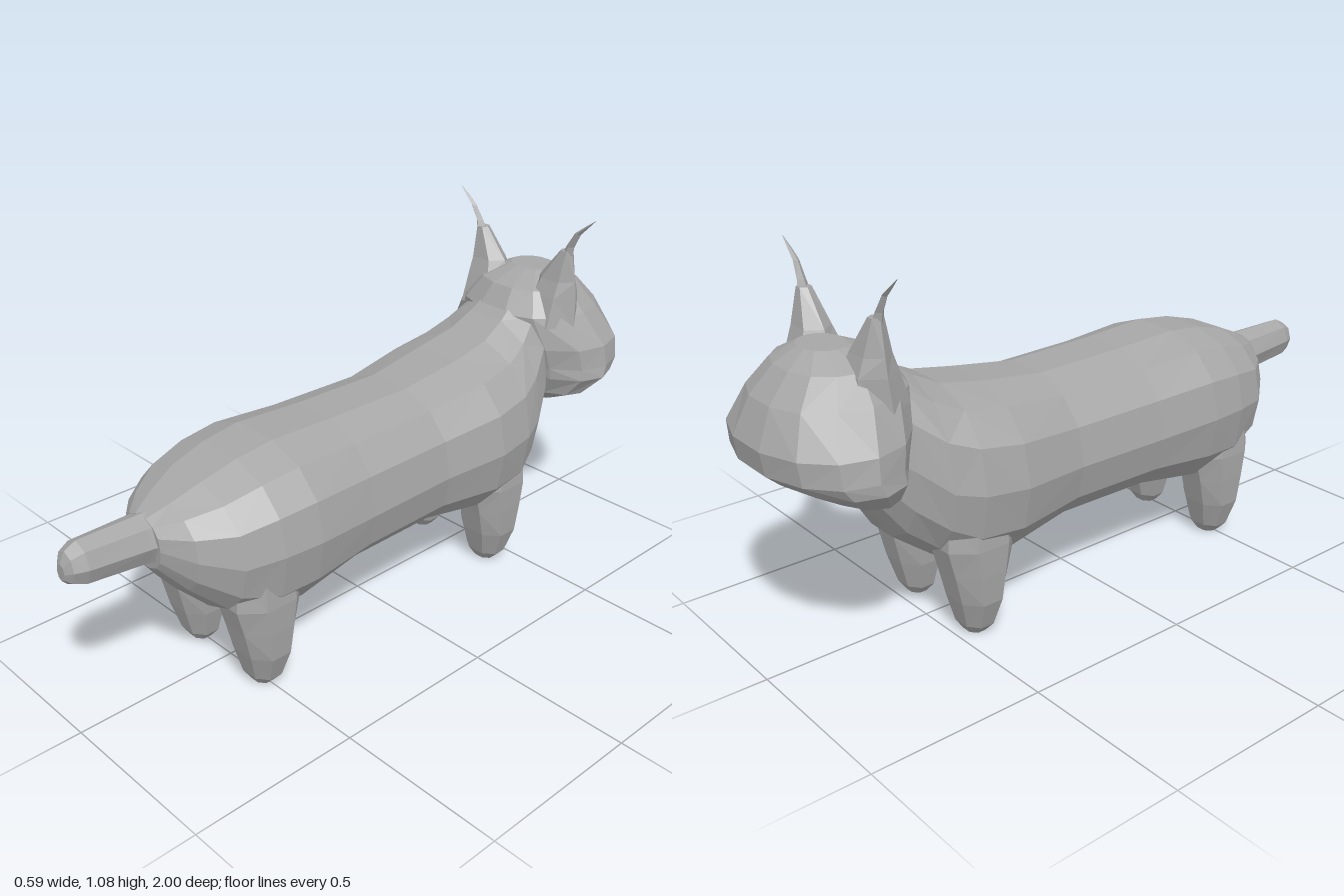
import * as THREE from 'three';

// Skin a list of rings (arrays of Vector3) and close both ends with a fan.
function loft(rings) {
  const n = rings[0].length, tris = [];
  for (let i = 0; i < rings.length - 1; i++) {
    const a = rings[i], b = rings[i + 1], odd = i % 2;
    for (let j = 0; j < n; j++) {
      const k = (j + 1) % n;
      if (odd) tris.push(a[j], a[k], b[j], a[k], b[k], b[j]);
      else tris.push(a[j], a[k], b[k], a[j], b[k], b[j]);
    }
  }
  const cap = (ring, flip) => {
    const c = ring.reduce((s, p) => s.add(p), new THREE.Vector3()).divideScalar(n);
    ring.forEach((p, j) => {
      const q = ring[(j + 1) % n];
      tris.push(...(flip ? [c, q, p] : [c, p, q]));
    });
  };
  cap(rings[0], true);
  cap(rings[rings.length - 1], false);

  // Turn the faces outward if the enclosed volume is negative.
  let volume = 0;
  for (let i = 0; i < tris.length; i += 3) {
    volume += tris[i].dot(tris[i + 1].clone().cross(tris[i + 2]));
  }
  if (volume < 0) tris.reverse();
  const geometry = new THREE.BufferGeometry().setFromPoints(tris);
  geometry.computeVertexNormals();
  return geometry;
}

// Superellipse ring with n sides; place(u, v) maps the unit outline into space.
function ring(n, power, place, turn = 0) {
  return Array.from({ length: n }, (_, j) => {
    const t = (j / n) * Math.PI * 2 + turn;
    const bend = (s) => Math.sign(s) * Math.pow(Math.abs(s), power);
    return place(bend(Math.cos(t)), bend(Math.sin(t)));
  });
}

// Upright cross-section at z; the widest point sits at height mid.
function acrossZ(n, power, [z, width, bottom, top, mid = (bottom + top) / 2]) {
  return ring(n, power, (u, v) => new THREE.Vector3(
    u * width, mid + v * (v > 0 ? top - mid : mid - bottom), z));
}

// Level cross-section at y, centred on x, spanning z0 to z1.
function acrossY(n, power, [y, x, width, z0, z1], turn = 0) {
  return ring(n, power, (u, v) => new THREE.Vector3(
    x + u * width, y, (z0 + z1) / 2 + v * (z1 - z0) / 2), turn);
}

export function createModel() {
  const model = new THREE.Group();
  const grey = new THREE.MeshStandardMaterial({ color: 0xa6a6a6, flatShading: true });
  grey.name = 'grey';
  const add = (name, geometry) => {
    const mesh = new THREE.Mesh(geometry, grey);
    mesh.name = name;
    model.add(mesh);
  };

  // Long body from rump to neck: z, half width, bottom, top, widest height
  const bodySections = [
    [0.76, 0.08, 0.42, 0.57],
    [0.70, 0.16, 0.34, 0.60],
    [0.61, 0.235, 0.25, 0.64],
    [0.50, 0.265, 0.18, 0.67, 0.45],
    [0.38, 0.275, 0.19, 0.685, 0.45],
    [0.17, 0.258, 0.23, 0.675, 0.44],
    [-0.13, 0.252, 0.23, 0.67, 0.44],
    [-0.34, 0.28, 0.19, 0.70, 0.45],
    [-0.47, 0.265, 0.19, 0.725, 0.46],
    [-0.55, 0.235, 0.25, 0.765, 0.48],
    [-0.63, 0.19, 0.31, 0.82, 0.55],
    [-0.70, 0.14, 0.42, 0.82, 0.60],
  ];
  add('body', loft(bodySections.map((s) => acrossZ(14, 0.88, s))));

  // Tail stub
  const tailSections = [
    [0.66, 0.085, 0.41, 0.58],
    [0.77, 0.068, 0.435, 0.575],
    [0.95, 0.055, 0.45, 0.577],
    [0.985, 0.04, 0.465, 0.56],
    [1.0, 0.018, 0.48, 0.53],
  ];
  add('tail', loft(tailSections.map((s) => acrossZ(8, 1, s))));

  // Broad head with full cheeks: y, x, half width, muzzle z, nape z
  const headSections = [
    [0.47, 0, 0.15, -0.79, -0.68],
    [0.51, 0, 0.24, -0.85, -0.645],
    [0.57, 0, 0.293, -0.95, -0.62],
    [0.605, 0, 0.29, -0.99, -0.61],
    [0.67, 0, 0.28, -1.0, -0.59],
    [0.77, 0, 0.215, -0.955, -0.57],
    [0.84, 0, 0.16, -0.89, -0.62],
    [0.88, 0, 0.075, -0.83, -0.71],
  ];
  add('head', loft(headSections.map((s) => acrossY(14, 0.95, s))));

  for (const side of [1, -1]) {
    const label = side > 0 ? 'left' : 'right';

    // Short tapered legs: y, x, half width, z offsets from the leg centre
    const legSections = [
      [0.005, 0.142, 0.036, -0.03, 0.03],
      [0.035, 0.143, 0.064, -0.05, 0.05],
      [0.12, 0.148, 0.09, -0.075, 0.075],
      [0.21, 0.148, 0.097, -0.098, 0.098],
      [0.29, 0.146, 0.102, -0.12, 0.12],
      [0.40, 0.14, 0.1, -0.11, 0.11],
    ];
    for (const [name, z] of [['FrontLeg', -0.435], ['HindLeg', 0.5]]) {
      add(label + name, loft(legSections.map(([y, x, w, a, b]) =>
        acrossY(8, 0.9, [y, side * x, w, z + a, z + b], Math.PI / 8))));
    }

    // Pointed ear, and the thin tuft curling outward from its tip
    const earSections = [
      [0.74, 0.13, 0.09, -0.80, -0.62],
      [0.83, 0.133, 0.08, -0.785, -0.65],
      [0.88, 0.14, 0.066, -0.765, -0.67],
      [0.975, 0.169, 0.02, -0.735, -0.695],
    ];
    const tuftSections = [
      [0.96, 0.172, 0.02, -0.732, -0.695],
      [0.99, 0.182, 0.014, -0.726, -0.70],
      [1.035, 0.207, 0.011, -0.72, -0.702],
      [1.06, 0.235, 0.007, -0.717, -0.705],
      [1.087, 0.266, 0.001, -0.713, -0.711],
    ];
    const build = (sections, n) => loft(sections.map(([y, x, ...rest]) =>
      acrossY(n, 1, [y, side * x, ...rest])));
    add(label + 'Ear', build(earSections, 6));
    add(label + 'EarTuft', build(tuftSections, 4));
  }
  return model;
}
